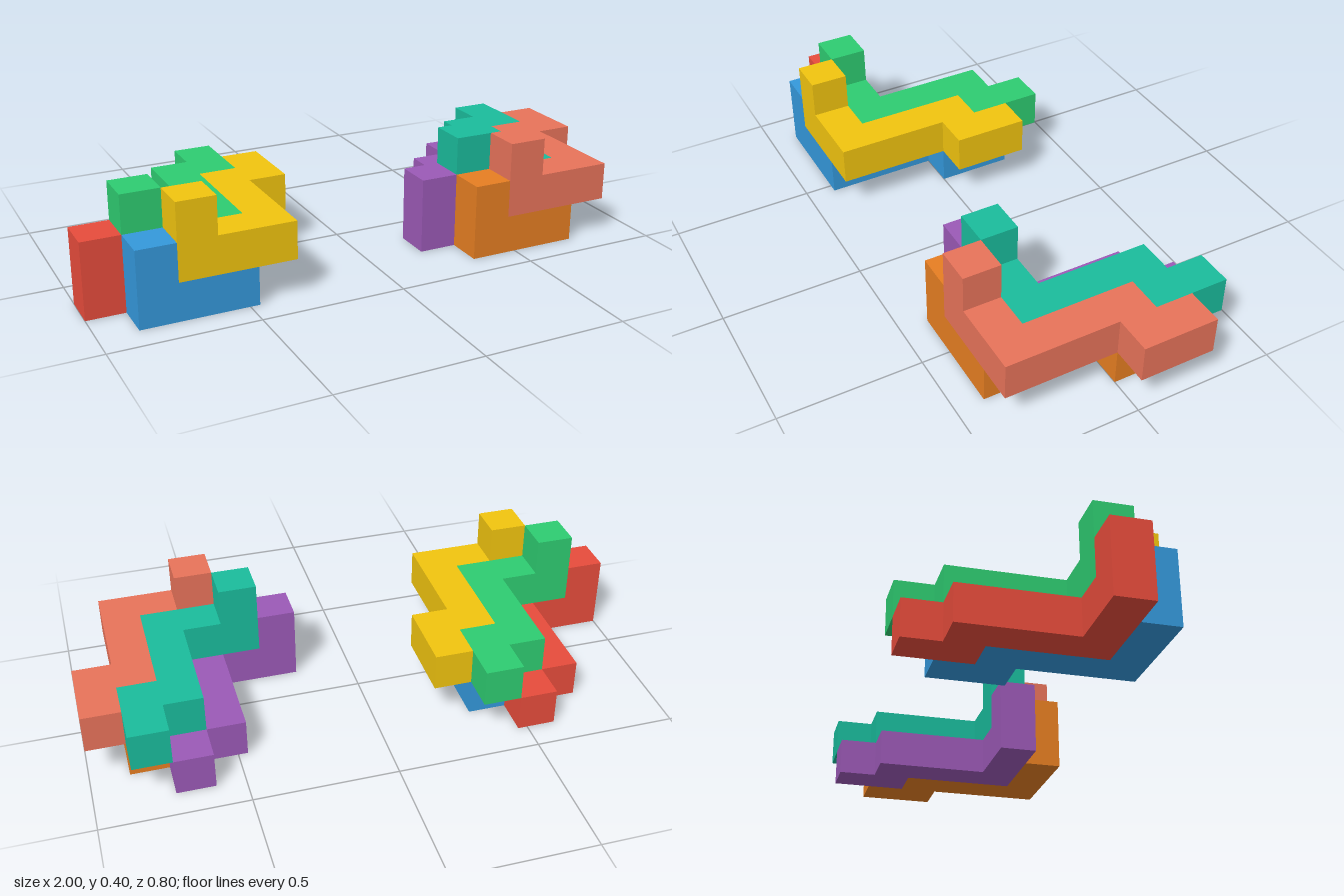
import * as THREE from 'three';

const U = 2 / 15; // edge of one cube cell

// One puzzle piece: a flat zigzag bar with a raised cube at its front end
function createPiece(name, color, [i, j, k]) {
  const material = new THREE.MeshStandardMaterial({ color, flatShading: true });
  const piece = new THREE.Group();
  piece.name = name;

  // Outline in cell units, as (x, z)
  const outline = [[0, 5], [3, 5], [3, 2], [4, 2], [4, 0], [3, 0], [3, 1], [2, 1], [2, 4], [0, 4]];
  const shape = new THREE.Shape(outline.map(([x, z]) => new THREE.Vector2(x * U, -z * U)));
  const barGeometry = new THREE.ExtrudeGeometry(shape, { depth: U, bevelEnabled: false });
  barGeometry.rotateX(-Math.PI / 2);
  const bar = new THREE.Mesh(barGeometry, material);
  bar.name = 'zigzagBar';

  const cube = new THREE.Mesh(new THREE.BoxGeometry(U, U, U), material);
  cube.name = 'raisedCube';
  cube.position.set(0.5 * U, 1.5 * U, 4.5 * U);

  piece.add(bar, cube);
  piece.position.set(i * U, j * U, k * U);
  return piece;
}

// Four identical pieces nested together: offsets in cells (x, y, z)
const slots = [
  ['upperFrontPiece', [2, 1, 1]],
  ['upperBackPiece', [1, 1, 0]],
  ['lowerFrontPiece', [1, 0, 1]],
  ['lowerBackPiece', [0, 0, 0]],
];

function createCluster(name, x, colors) {
  const cluster = new THREE.Group();
  cluster.name = name;
  slots.forEach(([piece, offset], n) => cluster.add(createPiece(piece, colors[n], offset)));
  cluster.position.set(x, 0, -3 * U);
  return cluster;
}

export function createModel() {
  const model = new THREE.Group();
  model.name = 'interlockingPuzzle';
  model.add(
    createCluster('rightCluster', -1, [0xf1c40f, 0x2ecc71, 0x3498db, 0xe74c3c]),
    createCluster('leftCluster', 0.2, [0xe8735a, 0x1abc9c, 0xe67e22, 0x9b59b6]),
  );
  return model;
}
